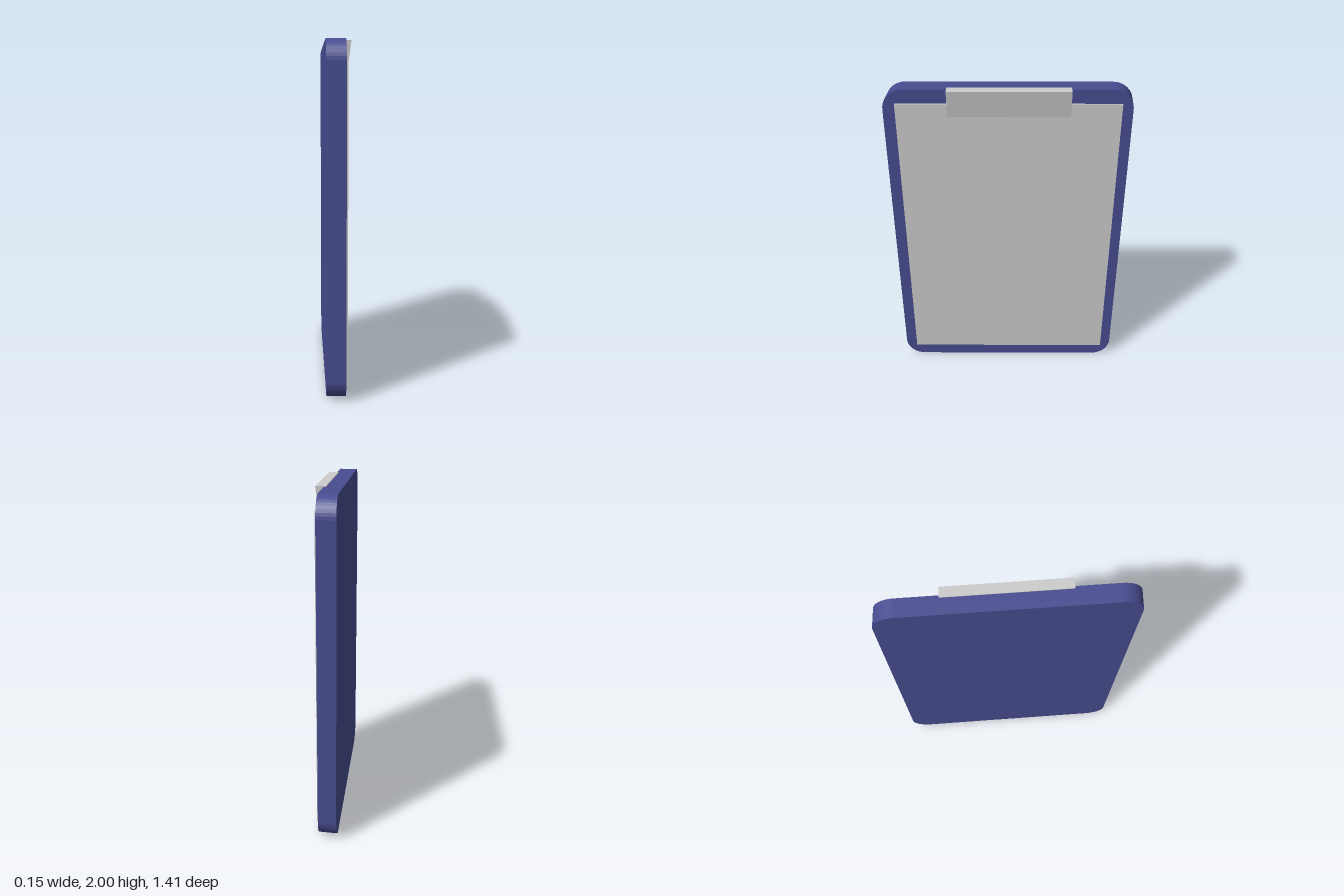
import * as THREE from 'three';

// Extrudes a shape drawn in the (z, y) or (x, y) plane as a flat-shaded mesh
function part(name, geometry, color) {
  const mesh = new THREE.Mesh(
    geometry,
    new THREE.MeshStandardMaterial({ color, flatShading: true })
  );
  mesh.name = name;
  return mesh;
}

// Board outline with rounded corners
function roundedRect(w, h, r) {
  const s = new THREE.Shape();
  const x = w / 2 - r;
  s.absarc(x, r, r, -Math.PI / 2, 0);
  s.absarc(x, h - r, r, 0, Math.PI / 2);
  s.absarc(-x, h - r, r, Math.PI / 2, Math.PI);
  s.absarc(-x, r, r, Math.PI, Math.PI * 1.5);
  s.closePath();
  return s;
}

export function createModel() {
  const group = new THREE.Group();
  group.name = 'clipboard';

  // Backing board, facing +x, its rim leaning very slightly towards +z
  const boardGeo = new THREE.ExtrudeGeometry(roundedRect(1.404, 1.994, 0.12), {
    depth: 0.108, bevelEnabled: false, curveSegments: 5,
  });
  boardGeo.rotateY(Math.PI / 2).translate(-0.078, 0, 0);
  const p = boardGeo.attributes.position;
  for (let i = 0; i < p.count; i++) p.setZ(i, p.getZ(i) + 0.065 * (p.getX(i) + 0.024));
  group.add(part('board', boardGeo, 0x484c90));

  // Sheet stack, set into the front of the board
  const paper = part('paper', new THREE.BoxGeometry(0.03, 1.825, 1.272), 0xcccccc);
  paper.position.set(0.027, 0.9975, 0);
  group.add(paper);

  // Wedge-shaped clip at the top edge
  const profile = new THREE.Shape([
    new THREE.Vector2(0.015, 2),
    new THREE.Vector2(0.042, 1.838),
    new THREE.Vector2(0.053, 1.838),
    new THREE.Vector2(0.075, 2),
  ]);
  const clipGeo = new THREE.ExtrudeGeometry(profile, { depth: 0.692, bevelEnabled: false });
  clipGeo.translate(0, 0, -0.349);
  group.add(part('clip', clipGeo, 0xcccccc));

  return group;
}
